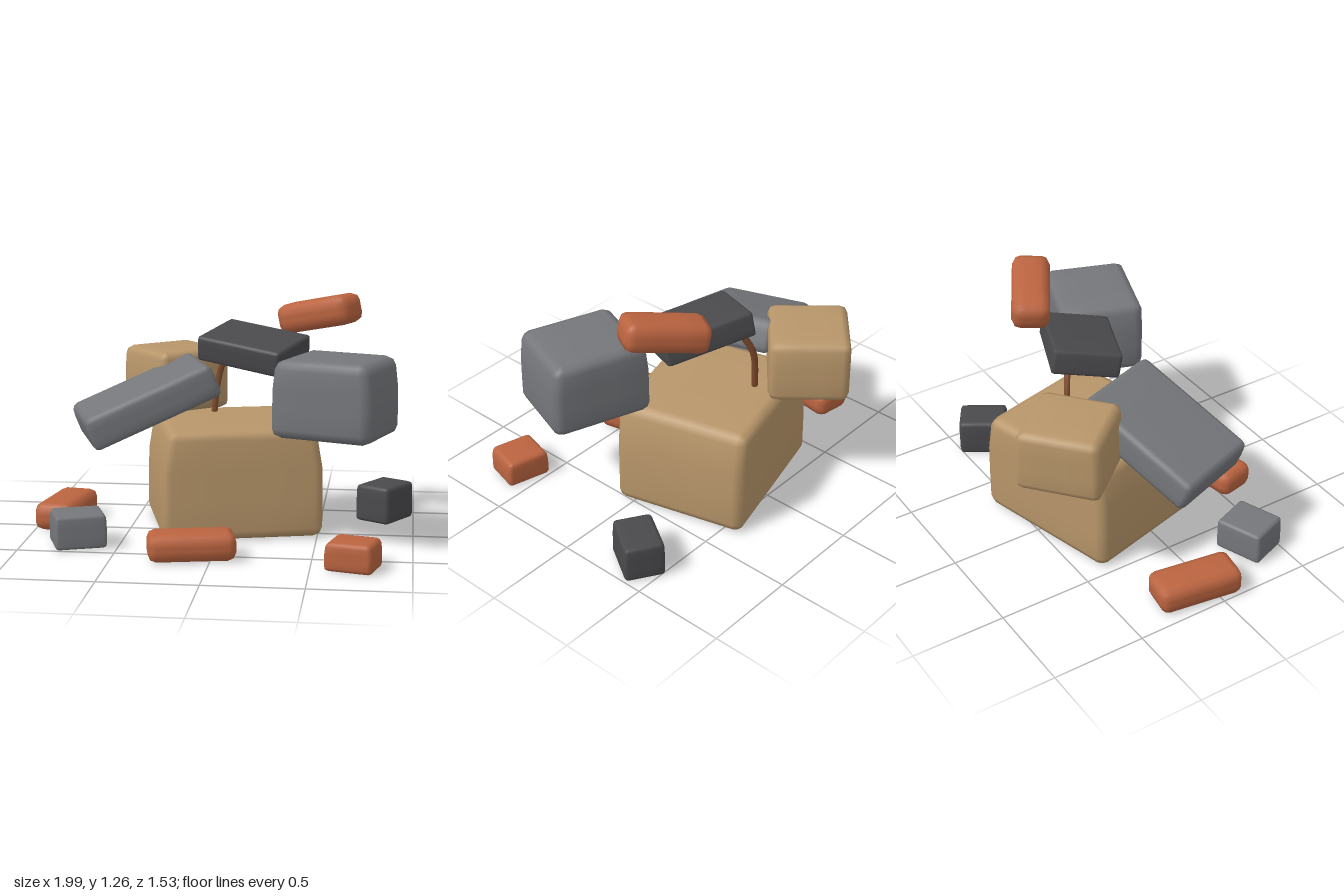
import * as THREE from 'three';
import { mergeVertices } from 'three/addons/utils/BufferGeometryUtils.js';

const mat = (name, color) => Object.assign(new THREE.MeshStandardMaterial({ color }), { name });

// Worn block: a box with rounded edges, its upper half narrowing in x by `taper` on each side
function blockGeometry([w, h, d], r, taper = 0) {
  const n = 5;
  let g = new THREE.BoxGeometry(2, 2, 2, n, n, n);
  g.deleteAttribute('uv');
  g.deleteAttribute('normal');
  const half = new THREE.Vector3(w / 2, h / 2, d / 2);
  const inner = half.clone().subScalar(r);
  const pos = g.attributes.position;
  const p = new THREE.Vector3(), c = new THREE.Vector3();
  // grid lines: outer edge, bevel start, and evenly spaced between
  const place = (t, size, flat) => {
    const i = Math.round((t + 1) * n / 2);
    return [-size, -flat, -flat / 3, flat / 3, flat, size][i];
  };
  for (let i = 0; i < pos.count; i++) {
    p.fromBufferAttribute(pos, i);
    for (const k of ['x', 'y', 'z']) p[k] = place(p[k], half[k], inner[k]);
    c.copy(p).clamp(inner.clone().negate(), inner);
    p.sub(c).setLength(r).add(c);
    const up = Math.max(0, p.y / half.y);
    p.x *= 1 - (taper / half.x) * up * up;
    pos.setXYZ(i, p.x, p.y, p.z);
  }
  g = mergeVertices(g, 1e-5);
  g.computeVertexNormals();
  return g;
}

export function createModel() {
  const group = new THREE.Group();
  group.name = 'rubblePile';
  const tan = mat('sandstone', 0xb8966a);
  const grey = mat('concrete', 0x75777b);
  const dark = mat('darkConcrete', 0x4a4a4d);
  const brick = mat('brickRed', 0xbb6440);
  const rust = mat('rust', 0x7d4a2c);

  // name, material, size, centre, rotation [x, y, z], edge radius, taper
  const blocks = [
    ['largeBlock', tan, [0.85, 0.58, 0.72], [0.035, 0.3, -0.15], [0, 0.26, 0], 0.05, 0.045],
    ['backBlock', tan, [0.445, 0.335, 0.415], [-0.32, 0.755, -0.485], [0, 0.7, 0], 0.04, 0.015],
    ['sideBlock', grey, [0.54, 0.4, 0.45], [0.595, 0.785, 0.228], [0, -0.345, 0], 0.05, 0.025],
    ['leaningSlab', grey, [0.72, 0.18, 0.5], [-0.415, 0.705, 0.003], [0, 0.34, 0.39], 0.03, 0.01],
    ['topSlab', dark, [0.49, 0.135, 0.355], [0.145, 0.975, -0.13], [0.17, -0.43, -0.12], 0.018, 0],
    ['topBrick', brick, [0.44, 0.155, 0.2], [0.485, 1.15, -0.22], [0.05, -0.53, 0.21], 0.045, 0],
    ['rightBrick', brick, [0.215, 0.145, 0.45], [-0.866, 0.08, -0.09], [0, -0.15, 0], 0.042, 0],
    ['frontBrick', brick, [0.44, 0.14, 0.21], [-0.1, 0.078, 0.548], [0, 0.21, 0], 0.042, 0],
    ['halfBrick', brick, [0.245, 0.145, 0.21], [0.71, 0.08, 0.637], [0, -0.26, 0], 0.022, 0.012],
    ['greyChunk', grey, [0.265, 0.175, 0.225], [-0.71, 0.098, 0.365], [0, 0.36, 0], 0.018, 0.005],
    ['darkChunk', dark, [0.21, 0.2, 0.26], [0.843, 0.109, -0.355], [0, -0.56, 0], 0.02, 0.005],
  ];
  for (const [name, material, size, at, turn, r, taper] of blocks) {
    const mesh = new THREE.Mesh(blockGeometry(size, r, taper), material);
    mesh.name = name;
    mesh.position.set(...at);
    mesh.rotation.set(...turn, 'YXZ');
    group.add(mesh);
  }

  // Bent reinforcing bar sticking out of the large block
  const path = new THREE.CatmullRomCurve3([
    [-0.09, 0.56, -0.322], [-0.078, 0.7, -0.332], [-0.055, 0.82, -0.335],
    [-0.01, 0.92, -0.305], [0.03, 0.97, -0.275],
  ].map((p) => new THREE.Vector3(...p)));
  const bar = new THREE.Mesh(new THREE.TubeGeometry(path, 10, 0.018, 6), rust);
  bar.name = 'bentBar';
  group.add(bar);

  return group;
}
